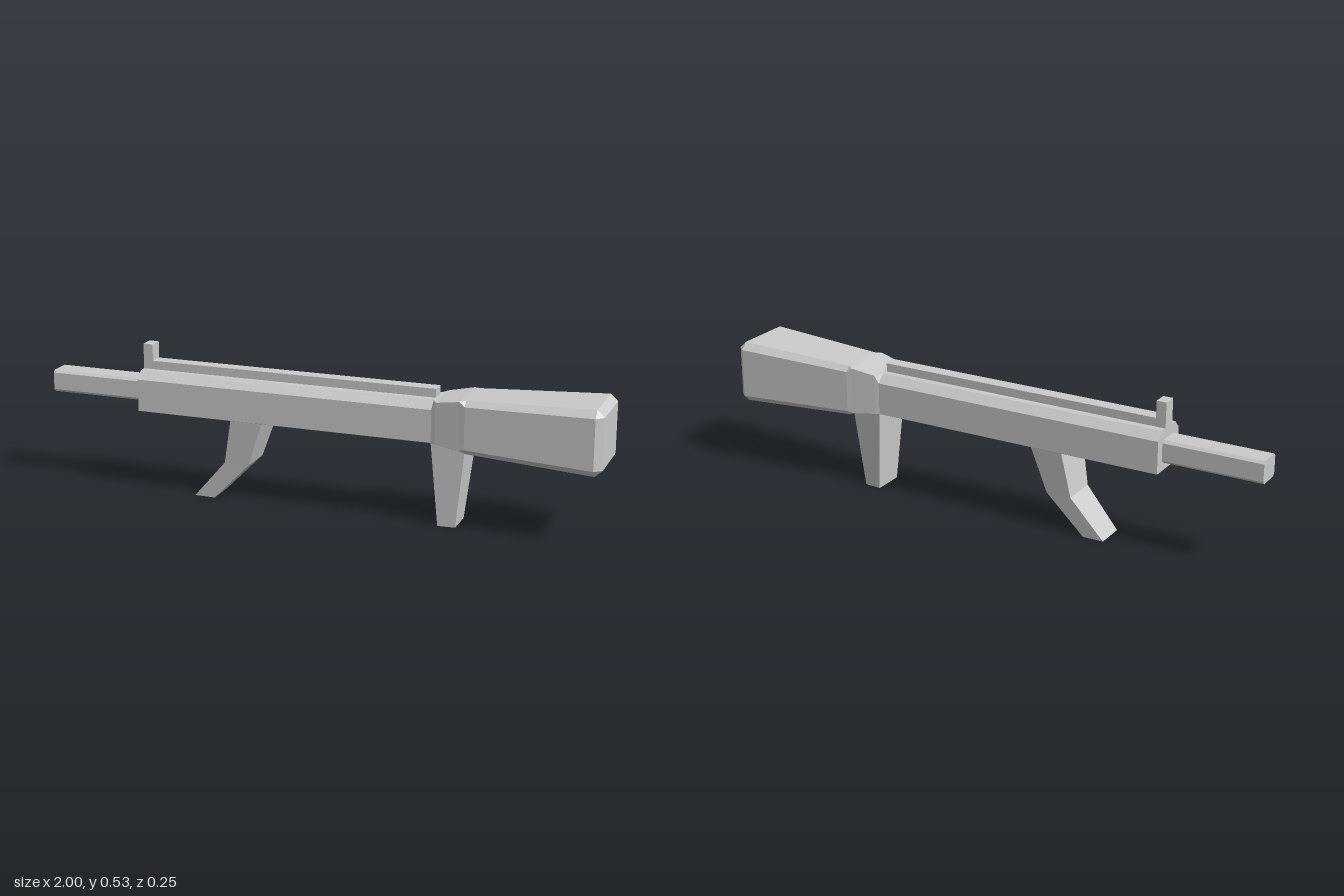
import * as THREE from 'three';

const material = new THREE.MeshStandardMaterial({ color: 0xcccccc, flatShading: true });

// Joins rings of points (counter-clockwise about the loft direction) and caps both ends.
function loft(name, rings) {
  const n = rings[0].length;
  const positions = rings.flat(2);
  const index = [];
  for (let i = 0; i < rings.length - 1; i++) {
    for (let j = 0; j < n; j++) {
      const k = (j + 1) % n;
      const a = i * n + j, b = i * n + k;
      index.push(a, b, b + n, a, b + n, a + n);
    }
  }
  const last = (rings.length - 1) * n;
  for (let j = 1; j < n - 1; j++) {
    index.push(0, j + 1, j, last, last + j, last + j + 1);
  }
  const geometry = new THREE.BufferGeometry();
  geometry.setAttribute('position', new THREE.Float32BufferAttribute(positions, 3));
  geometry.setIndex(index);
  geometry.computeVertexNormals();
  const mesh = new THREE.Mesh(geometry, material);
  mesh.name = name;
  return mesh;
}

// Chamfered box section across x; t and b are the top and bottom chamfers.
function sectionX(x, yLow, yHigh, half, t, b) {
  const side = [[half - t, yHigh], [half, yHigh - t], [half, yLow + b], [half - b, yLow]];
  const mirrored = side.map(([z, y]) => [-z, y]).reverse();
  return [...side, ...mirrored].map(([z, y]) => [x, y, z]);
}

// Four-cornered section across y, with its own half width at each x end.
function sectionY(y, x0, x1, half0, half1) {
  return [[x1, y, half1], [x1, y, -half1], [x0, y, -half0], [x0, y, half0]];
}

function box(name, x0, x1, y0, y1, half) {
  const mesh = new THREE.Mesh(new THREE.BoxGeometry(x1 - x0, y1 - y0, half * 2), material);
  mesh.position.set((x0 + x1) / 2, (y0 + y1) / 2, 0);
  mesh.name = name;
  return mesh;
}

export function createModel() {
  const group = new THREE.Group();
  group.name = 'rifle';

  // Barrel
  group.add(loft('barrel', [-1, -0.65].map((x) => sectionX(x, 0.323, 0.402, 0.045, 0.009, 0.009))));

  // Receiver flowing into the flared stock, chamfers closing to points at the neck
  group.add(loft('receiverAndStock', [
    sectionX(-0.65, 0.295, 0.437, 0.078, 0.028, 0.001),
    sectionX(0.42, 0.295, 0.437, 0.078, 0.028, 0.001),
    sectionX(0.435, 0.293, 0.437, 0.082, 0.001, 0.001),
    sectionX(0.52, 0.284, 0.452, 0.096, 0.001, 0.001),
    sectionX(0.54, 0.272, 0.454, 0.1, 0.018, 0.018),
    sectionX(0.975, 0.25, 0.473, 0.126, 0.024, 0.024),
    sectionX(1, 0.272, 0.45, 0.102, 0.001, 0.001),
  ]));

  // Top rail and front sight
  group.add(box('topRail', -0.62, 0.42, 0.43, 0.467, 0.025));
  group.add(box('frontSight', -0.65, -0.615, 0.43, 0.526, 0.025));

  // Bent forward grip
  group.add(loft('forwardGrip', [
    sectionY(0, -0.45, -0.375, 0.053, 0.053),
    sectionY(0.137, -0.33, -0.24, 0.063, 0.063),
    sectionY(0.297, -0.3, -0.185, 0.077, 0.077),
  ]));

  // Tapered rear grip, narrower towards the stock
  group.add(loft('rearGrip', [
    sectionY(0, 0.442, 0.503, 0.056, 0.051),
    sectionY(0.297, 0.42, 0.537, 0.078, 0.069),
  ]));

  return group;
}
